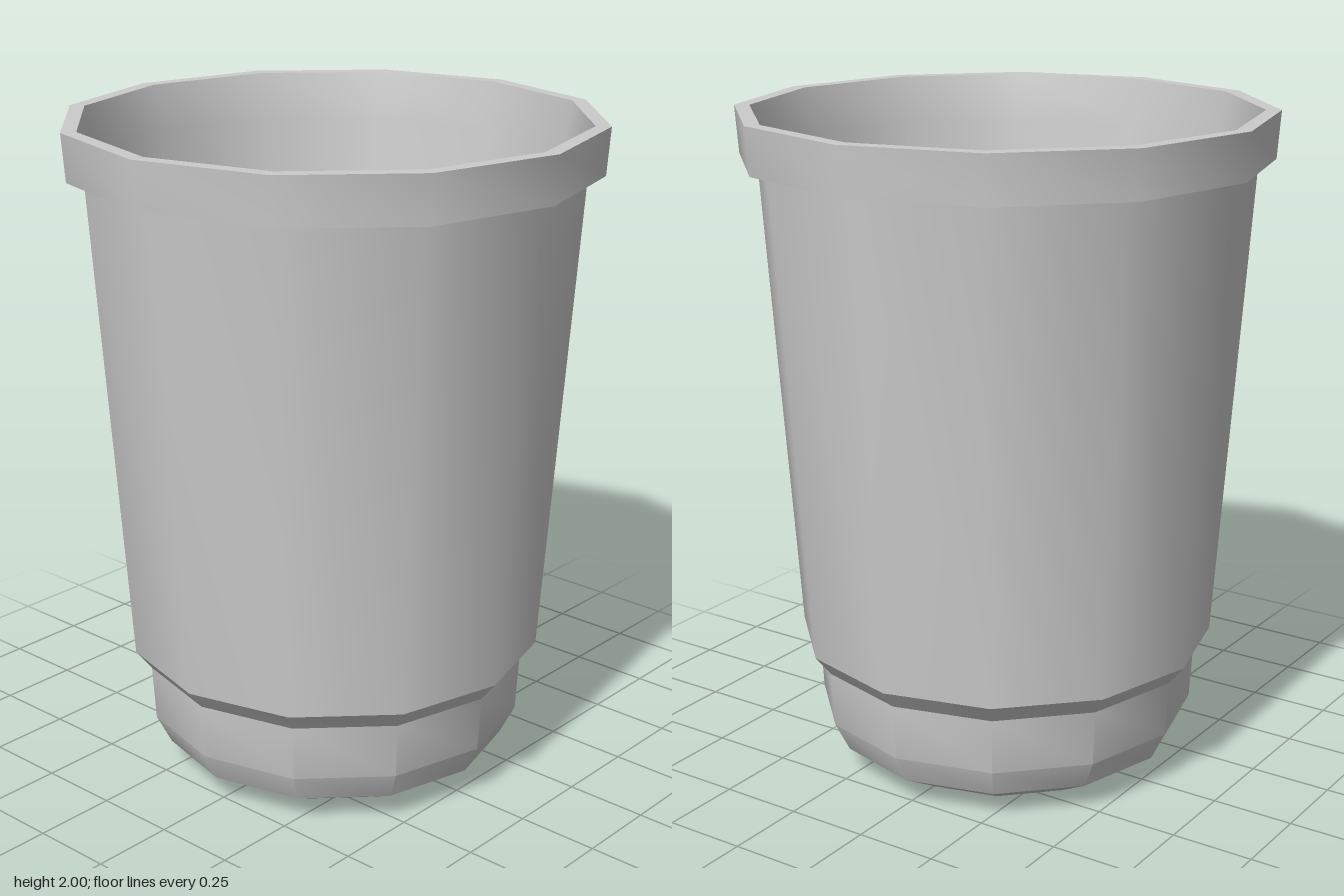
import * as THREE from 'three';
import { toCreasedNormals } from 'three/addons/utils/BufferGeometryUtils.js';

export function createModel() {
  const model = new THREE.Group();
  const material = new THREE.MeshStandardMaterial({ color: 0xcccccc });

  // Twelve-sided cup: outside wall from the base up, over the rim, down the inside
  const profile = [
    [0, 0], [0.39, 0], [0.53, 0.08], [0.575, 0.17], [0.585, 0.34], [0.632, 0.4],
    [0.73, 1.86], [0.78, 1.86], [0.79, 2], [0.745, 2],
    [0.72, 1.86], [0.612, 0.45], [0.57, 0.34], [0.555, 0.17], [0, 0.17],
  ].map(([r, y]) => new THREE.Vector2(r, y));
  const cup = new THREE.Mesh(toCreasedNormals(new THREE.LatheGeometry(profile, 12), 0.56), material);
  cup.name = 'cup';
  model.add(cup);

  // Balls stacked in rings of five, every other ring turned to sit in the gaps
  const balls = new THREE.Group();
  balls.name = 'balls';
  const ballGeometry = new THREE.IcosahedronGeometry(0.18, 1);
  const addBall = (x, y, z) => {
    const ball = new THREE.Mesh(ballGeometry, material);
    ball.name = 'ball';
    ball.position.set(x, y, z);
    ball.rotation.set(x * 9, y * 5, z * 7);
    balls.add(ball);
  };
  const evenRing = [[0.28, 0.04], [0.105, 0.3], [-0.255, 0.19], [-0.28, -0.17], [0.07, -0.31]];
  const oddRing = [[0.27, -0.16], [0.225, 0.215], [-0.14, 0.29], [-0.325, 0], [-0.07, -0.305]];
  for (let layer = 0; layer < 5; layer++) {
    const y = 1.51 - layer * 0.29;
    for (const [x, z] of layer % 2 ? oddRing : evenRing) addBall(x, y, z);
    if (layer > 0) addBall(0, y, 0);
  }
  model.add(balls);
  return model;
}
